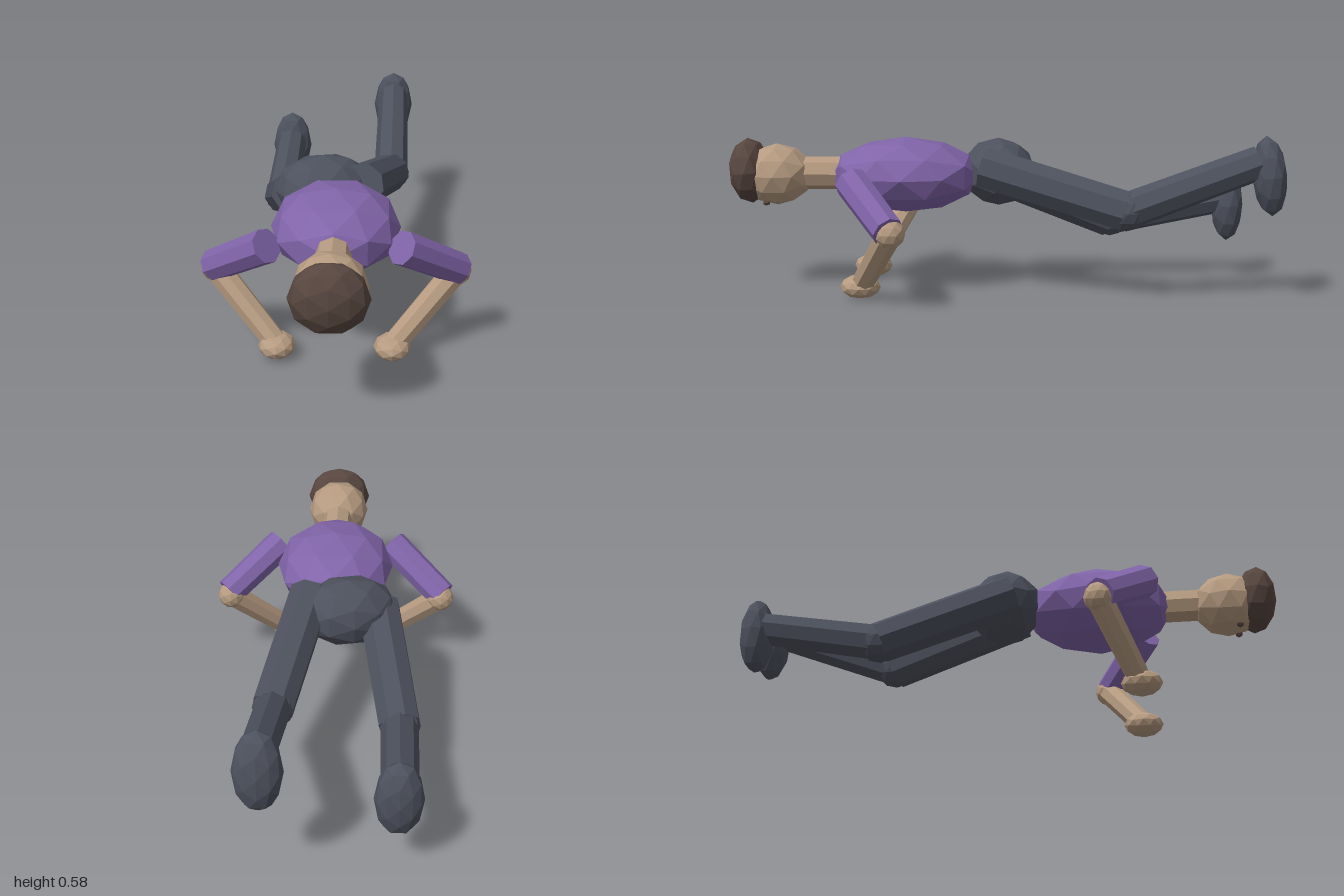
import * as THREE from 'three';

export function createModel() {
  const model = new THREE.Group();
  model.name = 'proneFigure';

  const material = (name, color) => {
    const m = new THREE.MeshStandardMaterial({ color, flatShading: true });
    m.name = name;
    return m;
  };
  const skin = material('skin', 0xb59a80);
  const shirt = material('purple shirt', 0x8064a8);
  const trousers = material('charcoal trousers', 0x4d515d);
  const hair = material('brown hair', 0x57463f);

  // Faceted ellipsoid
  const blob = (name, mat, position, radii, rotation = [0, 0, 0], detail = 1) => {
    const mesh = new THREE.Mesh(new THREE.IcosahedronGeometry(1, detail), mat);
    mesh.name = name;
    mesh.position.set(...position);
    mesh.scale.set(...radii);
    mesh.rotation.set(...rotation);
    model.add(mesh);
  };

  // Faceted limb segment between two joints
  const limb = (name, mat, from, to, rFrom, rTo) => {
    const a = new THREE.Vector3(...from);
    const b = new THREE.Vector3(...to);
    const dir = b.clone().sub(a);
    const mesh = new THREE.Mesh(new THREE.CylinderGeometry(rTo, rFrom, dir.length(), 8), mat);
    mesh.name = name;
    mesh.position.copy(a).add(b).multiplyScalar(0.5);
    mesh.quaternion.setFromUnitVectors(new THREE.Vector3(0, 1, 0), dir.normalize());
    model.add(mesh);
  };

  // Trunk
  blob('torso', shirt, [0, 0.42, 0.355], [0.22, 0.138, 0.275]);
  blob('pelvis', trousers, [-0.055, 0.425, 0.015], [0.18, 0.125, 0.135], [0, 0.2, 0]);

  // Head, facing the ground
  limb('neck', skin, [0, 0.425, 0.56], [0, 0.425, 0.75], 0.06, 0.06);
  blob('head', skin, [0, 0.42, 0.825], [0.12, 0.113, 0.13]);
  blob('hair', hair, [0, 0.433, 0.925], [0.126, 0.12, 0.075], [0.06, 0, 0]);

  // Arms mirrored on both sides
  for (const [side, s] of [['left', 1], ['right', -1]]) {
    const elbow = [s * 0.41, 0.27, 0.37];
    const wrist = [s * 0.2, 0.05, 0.495];
    limb(side + 'UpperArm', shirt, [s * 0.22, 0.42, 0.525], [s * 0.418, 0.278, 0.375], 0.06, 0.056);
    blob(side + 'Elbow', skin, elbow, [0.052, 0.052, 0.052]);
    limb(side + 'Forearm', skin, elbow, wrist, 0.046, 0.041);
    blob(side + 'Hand', skin, [s * 0.195, 0.043, 0.5], [0.063, 0.043, 0.072]);
    blob(side + 'Eye', hair, [s * 0.042, 0.32, 0.86], [0.014, 0.012, 0.014], [0, 0, 0], 0);
  }

  // Legs, each with its own pose
  const legs = [
    { side: 'left', hip: [0.085, 0.457, 0.065], knee: [0.19, 0.315, -0.44], ankle: [0.2, 0.49, -0.9],
      foot: [0.2, 0.442, -0.935], tilt: 0.1 },
    { side: 'right', hip: [-0.165, 0.42, 0.05], knee: [-0.24, 0.225, -0.41], ankle: [-0.232, 0.305, -0.83],
      foot: [-0.23, 0.28, -0.858], tilt: 0 },
  ];
  for (const { side, hip, knee, ankle, foot, tilt } of legs) {
    limb(side + 'Thigh', trousers, hip, knee, 0.079, 0.075);
    blob(side + 'Knee', trousers, knee, [0.072, 0.072, 0.072]);
    limb(side + 'Shin', trousers, knee, ankle, 0.066, 0.06);
    blob(side + 'Foot', trousers, foot, [0.08, 0.142, 0.06], [tilt, 0, 0]);
  }

  return model;
}
